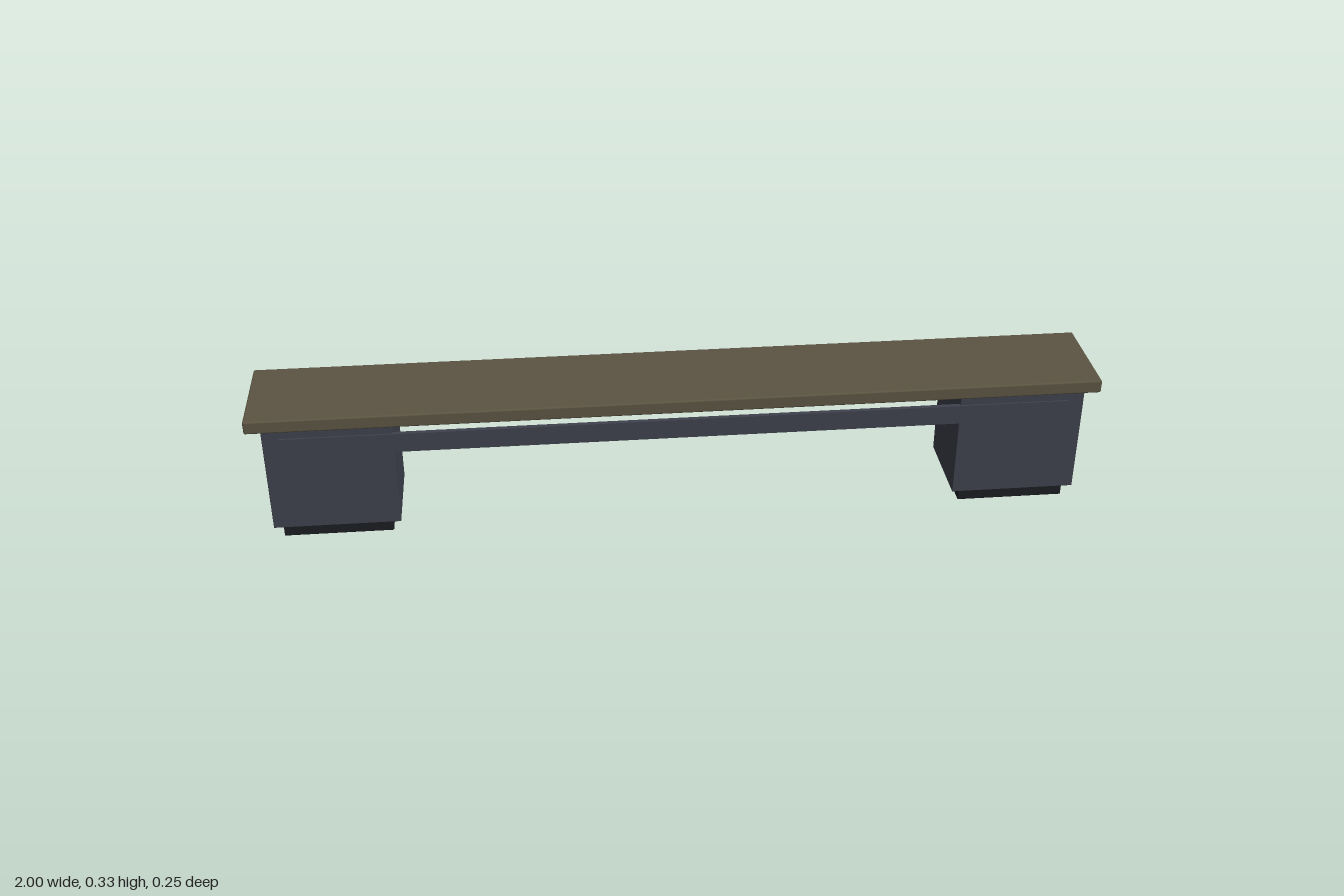
import * as THREE from 'three';
import { RoundedBoxGeometry } from 'three/addons/geometries/RoundedBoxGeometry.js';

const wood = new THREE.MeshStandardMaterial({ color: 0x5c5543 });
const slate = new THREE.MeshStandardMaterial({ color: 0x3f424d });
const black = new THREE.MeshStandardMaterial({ color: 0x1c1d21 });

// Box given by its extents on each axis, with optional softened edges
function block(name, material, [x0, x1], [y0, y1], [z0, z1], radius = 0) {
  const size = [x1 - x0, y1 - y0, z1 - z0];
  const geometry = radius
    ? new RoundedBoxGeometry(...size, 2, radius)
    : new THREE.BoxGeometry(...size);
  const mesh = new THREE.Mesh(geometry, material);
  mesh.name = name;
  mesh.position.set((x0 + x1) / 2, (y0 + y1) / 2, (z0 + z1) / 2);
  return mesh;
}

// Bar handle on two short posts, standing off the drawer front
function createHandle(y) {
  const handle = new THREE.Group();
  handle.name = 'handle';
  handle.add(block('handleBar', black, [-0.05, 0.05], [y - 0.003, y + 0.003], [-0.114, -0.107]));
  for (const x of [-0.04, 0.04]) {
    handle.add(block('handlePost', black, [x - 0.004, x + 0.004], [y - 0.005, y + 0.004], [-0.109, -0.102]));
  }
  return handle;
}

// Drawer pedestal, with drawers opening to the back
function createPedestal(name, x) {
  const pedestal = new THREE.Group();
  pedestal.name = name;
  pedestal.position.x = x;
  pedestal.add(
    block('cabinet', slate, [-0.149, 0.149], [0.035, 0.301], [-0.095, 0.113], 0.001),
    block('plinth', black, [-0.129, 0.129], [0, 0.035], [-0.095, 0.097], 0.002)
  );
  const drawers = [[0.055, 0.122, 0.105], [0.147, 0.213, 0.197], [0.23, 0.297, 0.281]];
  for (const [bottom, top, handleY] of drawers) {
    pedestal.add(
      block('drawerFront', wood, [-0.139, 0.139], [bottom, top], [-0.104, -0.094], 0.001),
      createHandle(handleY)
    );
  }
  return pedestal;
}

export function createModel() {
  const desk = new THREE.Group();
  desk.name = 'desk';
  desk.add(
    block('desktop', wood, [-1, 1], [0.301, 0.333], [-0.124, 0.124], 0.004),
    block('modestyPanel', slate, [-0.925, 0.925], [0.231, 0.279], [0.106, 0.117]),
    createPedestal('leftPedestal', 0.815),
    createPedestal('rightPedestal', -0.815)
  );
  return desk;
}
